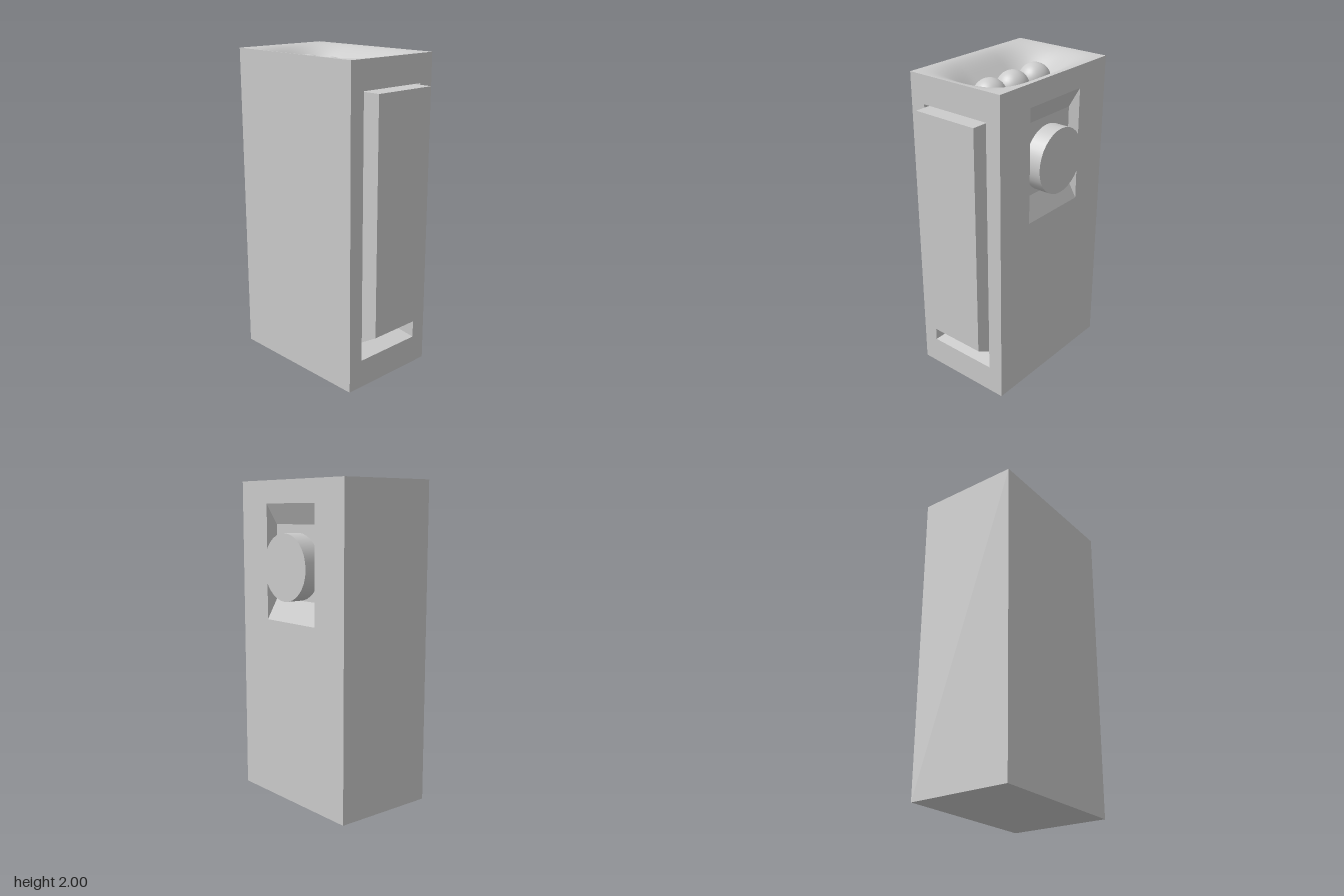
import * as THREE from 'three';

const material = new THREE.MeshStandardMaterial({ color: 0xcccccc });
const X0 = -0.36, X1 = 0.31, Z0 = -0.54, Z1 = 0.45, H = 2;

// Four corners, counter-clockwise from outside: on the front and right faces
const frontRect = (x0, x1, y0, y1, z) => [[x0, y0, z], [x1, y0, z], [x1, y1, z], [x0, y1, z]];
const rightRect = (z0, z1, y0, y1, x) => [[x, y0, z1], [x, y0, z0], [x, y1, z0], [x, y1, z1]];

// Flat-shaded geometry from a list of quads
function quadGeometry(quads) {
  const points = quads.flatMap(([a, b, c, d]) => [a, b, c, a, c, d]).flat();
  const g = new THREE.BufferGeometry();
  g.setAttribute('position', new THREE.Float32BufferAttribute(points, 3));
  g.computeVertexNormals();
  return g;
}

// Face with a tapering recess: border, sloped walls and recess back
function recessedFace(outer, opening, back) {
  const ring = (a, b) => a.map((p, i) => [p, a[(i + 1) % 4], b[(i + 1) % 4], b[i]]);
  return [...ring(outer, opening), ...ring(opening, back), back];
}

export function createModel() {
  const model = new THREE.Group();
  const add = (name, geometry, x = 0, y = 0, z = 0) => {
    const mesh = new THREE.Mesh(geometry, material);
    mesh.name = name;
    mesh.position.set(x, y, z);
    model.add(mesh);
    return mesh;
  };

  // Case: front and right faces with recesses, plain left, back and bottom
  add('case', quadGeometry([
    ...recessedFace(
      frontRect(X0, X1, 0, H, Z1),
      frontRect(-0.26, 0.21, 0.18, 1.825, Z1),
      frontRect(-0.23, 0.195, 0.21, 1.818, 0.3)),
    ...recessedFace(
      rightRect(Z0, Z1, 0, H, X1),
      rightRect(-0.28, 0.19, 1.14, 1.86, X1),
      rightRect(-0.265, 0.175, 1.275, 1.735, 0.245)),
    [[X0, 0, Z0], [X0, 0, Z1], [X0, H, Z1], [X0, H, Z0]],
    [[X1, 0, Z0], [X0, 0, Z0], [X0, H, Z0], [X1, H, Z0]],
    [[X0, 0, Z0], [X1, 0, Z0], [X1, 0, Z1], [X0, 0, Z1]],
  ]));

  // Top tray: a smooth hollow that meets the straight rim
  const w = X1 - X0, d = Z1 - Z0;
  const tray = new THREE.PlaneGeometry(w, d, 32, 44).rotateX(-Math.PI / 2);
  const p = tray.attributes.position;
  for (let i = 0; i < p.count; i++) {
    const u = 1 - Math.abs(p.getX(i)) / (w / 2);
    const v = 1 - Math.abs(p.getZ(i)) / (d / 2);
    p.setY(i, -0.18 * THREE.MathUtils.smoothstep(u, 0, 1) * THREE.MathUtils.smoothstep(v, 0, 0.7));
  }
  tray.computeVertexNormals();
  add('topTray', tray, (X0 + X1) / 2, H, (Z0 + Z1) / 2);

  // Row of balls resting in the tray
  for (const z of [-0.27, -0.06, 0.148]) {
    add('ball', new THREE.SphereGeometry(0.102, 32, 20), -0.024, 1.854, z);
  }

  // Front panel: side profile with a slanted underside, extruded across
  const profile = new THREE.Shape([[0.3, 0.21], [0.54, 0.355], [0.54, 1.817], [0.3, 1.817]]
    .map(([z, y]) => new THREE.Vector2(-z, y)));
  const panel = new THREE.ExtrudeGeometry(profile, { depth: 0.435, bevelEnabled: false });
  panel.rotateY(Math.PI / 2);
  add('frontPanel', panel, -0.234);

  // Round knob in the side recess
  const knob = new THREE.CylinderGeometry(0.205, 0.205, 0.108, 32).rotateZ(-Math.PI / 2);
  add('sideKnob', knob, 0.301, 1.48, -0.048);

  return model;
}
